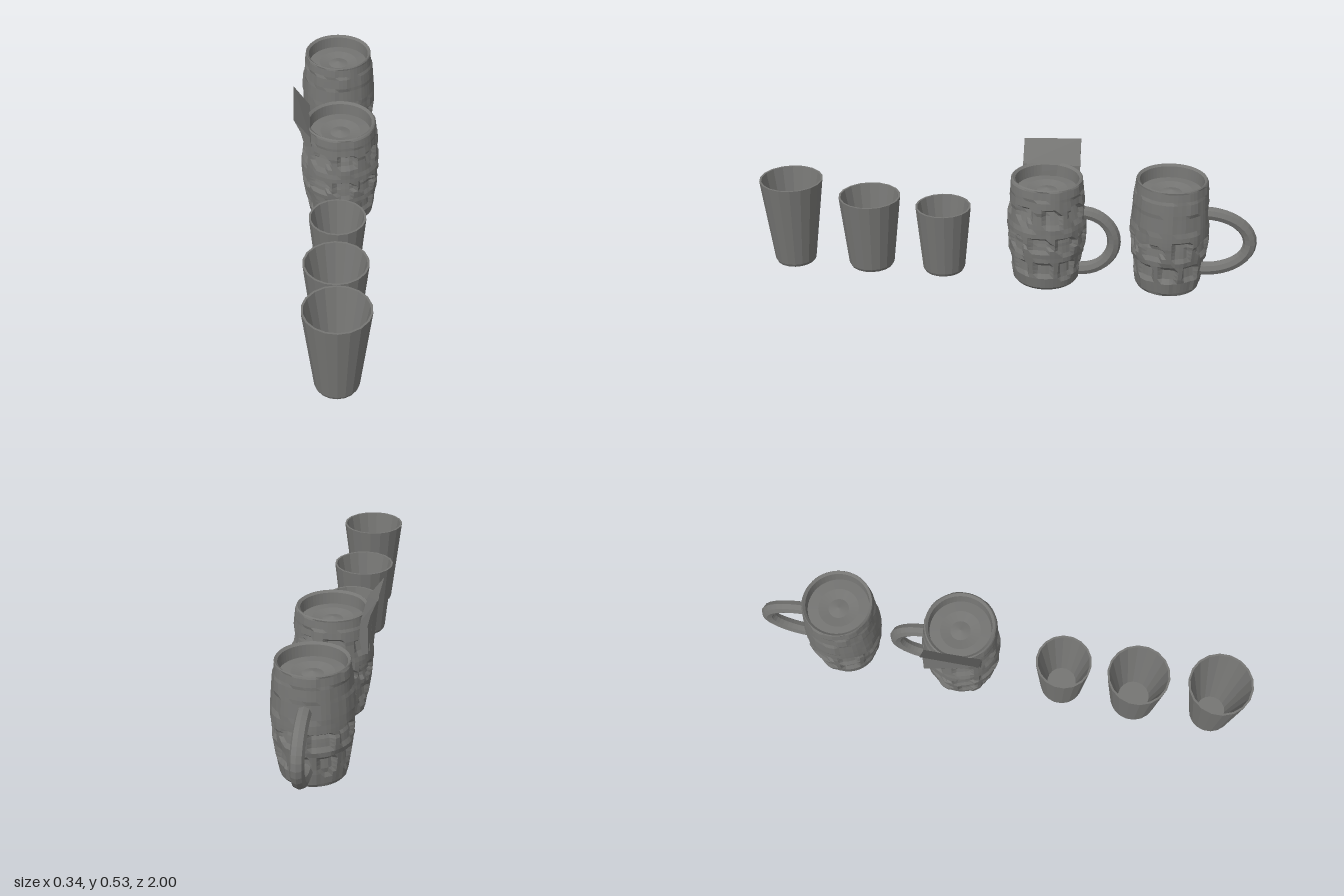
import * as THREE from 'three';

const grey = new THREE.MeshStandardMaterial({ color: 0x757573, flatShading: true });
grey.name = 'warm grey';

const v2 = (p) => new THREE.Vector2(p[0], p[1]);
const hash = (a, b) => {
  const s = Math.sin(a * 127.1 + b * 311.7) * 43758.5453;
  return s - Math.floor(s) - 0.5;
};

function part(name, geometry, x = 0, y = 0, z = 0) {
  const flat = geometry.index ? geometry.toNonIndexed() : geometry;
  flat.computeVertexNormals();
  const mesh = new THREE.Mesh(flat, grey);
  mesh.name = name;
  mesh.position.set(x, y, z);
  return mesh;
}

// Tapered tumbler with a thin rim and a heavy base
function tumbler(name, x, z, h, rTop, rBase) {
  const profile = [
    [0, 0], [rBase * 0.93, 0], [rBase, 0.012], [rTop, h],
    [rTop - 0.008, h], [rBase * 0.68, 0.04], [0, 0.04],
  ].map(v2);
  return part(name, new THREE.LatheGeometry(profile, 18), x, 0, z);
}

// Barrel body whose outer wall is pressed in at rows of windows
function mugBody(h, bodyRadii, rows, seed) {
  const segs = 54, steps = 28;
  const wall = new THREE.SplineCurve(bodyRadii.map(([r, t]) => new THREE.Vector2(r, t * h))).getPoints(steps);
  const foot = [[0, 0.035], [0.088, 0.035], [0.102, 0.002], [0.122, 0]].map(v2);
  const inside = [
    [0.136, h + 0.004], [0.126, h - 0.004], [0.122, h - 0.05],
    [0.08, h - 0.047], [0.04, h - 0.055], [0, h - 0.045],
  ].map(v2);
  const points = [...foot, ...wall, ...inside];
  const geo = new THREE.LatheGeometry(points, segs);
  const pos = geo.attributes.position;
  const first = foot.length, last = foot.length + wall.length - 1;
  for (let i = 0; i <= segs; i++) {
    const a = (i % segs) / segs * Math.PI * 2;
    for (let j = first; j < last; j++) {
      const y = points[j].y;
      let r = points[j].x;
      // broad hammered unevenness
      r += 0.007 * hash(Math.floor((i % segs) / 3) + seed, Math.floor(j / 4));
      for (const row of rows) {
        const pitch = Math.PI * 2 / row.count;
        const shifted = a - row.offset;
        const k = Math.round(shifted / pitch);
        const da = Math.abs(shifted - k * pitch);
        const dy = y - row.y - 0.012 * hash(((k + row.count) % row.count) + seed, row.y * 10);
        const u = da / row.halfAngle, v = Math.abs(dy) / row.halfHeight;
        if (u ** 4 + v ** 4 < 1) r -= 0.015 + 0.007 * dy / row.halfHeight;
      }
      pos.setXYZ(i * points.length + j, r * Math.sin(a), y, r * Math.cos(a));
    }
  }
  return geo;
}

// Looped handle in the yz plane, with both ends sunk into the body
function handle(x, y, z, reach, rise) {
  const pts = [];
  for (let i = 0; i <= 8; i++) {
    const t = Math.PI / 2 - Math.PI * i / 8;
    pts.push(new THREE.Vector3(0, Math.sin(t) * rise, -Math.cos(t) * reach));
  }
  pts.unshift(new THREE.Vector3(0, rise - 0.005, 0.04));
  pts.push(new THREE.Vector3(0, -rise + 0.005, 0.04));
  return part('handle', new THREE.TubeGeometry(new THREE.CatmullRomCurve3(pts), 24, 0.027, 8), x, y, z);
}

function mug(name, x, z, h, radii, rows, seed) {
  const group = new THREE.Group();
  group.name = name;
  group.add(part('mugBody', mugBody(h, radii, rows, seed), x, 0, z));
  return group;
}

export function createModel() {
  const model = new THREE.Group();
  model.name = 'glassware';

  // Three tumblers, tallest in front
  model.add(
    tumbler('largeTumbler', -0.025, 0.872, 0.363, 0.128, 0.084),
    tumbler('mediumTumbler', -0.022, 0.553, 0.305, 0.125, 0.093),
    tumbler('smallTumbler', -0.01, 0.252, 0.28, 0.112, 0.086),
  );

  const radii = [
    [0.131, 0.03], [0.143, 0.2], [0.155, 0.4], [0.158, 0.55],
    [0.152, 0.75], [0.146, 0.9], [0.141, 1],
  ];
  const row = (y, count, halfAngle, halfHeight, offset) => ({ y, count, halfAngle, halfHeight, offset });

  // Front mug with three rows of windows
  const frontMug = mug('frontMug', 0.01, -0.167, 0.438, radii, [
    row(0.09, 9, 0.24, 0.032, 0.15),
    row(0.2, 9, 0.25, 0.034, 0.1),
    row(0.325, 8, 0.24, 0.03, 0.2),
  ], 3);
  frontMug.add(handle(0.018, 0.17, -0.305, 0.133, 0.125));

  // Leaning flap on the front mug's rim
  const flapShape = new THREE.Shape([
    [-0.176, 0.527], [-0.15, 0.462], [-0.14, 0.42], [-0.142, 0.3],
    [-0.12, 0.3], [-0.108, 0.365], [-0.112, 0.435],
  ].map(v2));
  const flapGeo = new THREE.ExtrudeGeometry(flapShape, { depth: 0.228, bevelEnabled: false });
  // the front end is cut shorter at the bottom, the top edge dips slightly at the back
  const fp = flapGeo.attributes.position;
  for (let i = 0; i < fp.count; i++) {
    if (fp.getZ(i) > 0.1 && fp.getY(i) < 0.39) fp.setXYZ(i, Math.max(fp.getX(i), -0.13), 0.39, fp.getZ(i));
    if (fp.getZ(i) > 0.1 && fp.getY(i) > 0.5) fp.setY(i, 0.52);
  }
  frontMug.add(part('flap', flapGeo, 0, 0, -0.288));

  // Back mug with two rows of windows
  const backRadii = radii.map(([r, t]) => [r * 0.96 + 0.003, t]);
  const backMug = mug('backMug', 0.012, -0.655, 0.455, backRadii, [
    row(0.095, 9, 0.23, 0.032, 0.17),
    row(0.2, 8, 0.27, 0.034, 0.35),
  ], 11);
  backMug.add(handle(0.02, 0.195, -0.79, 0.182, 0.123));

  model.add(frontMug, backMug);
  return model;
}
